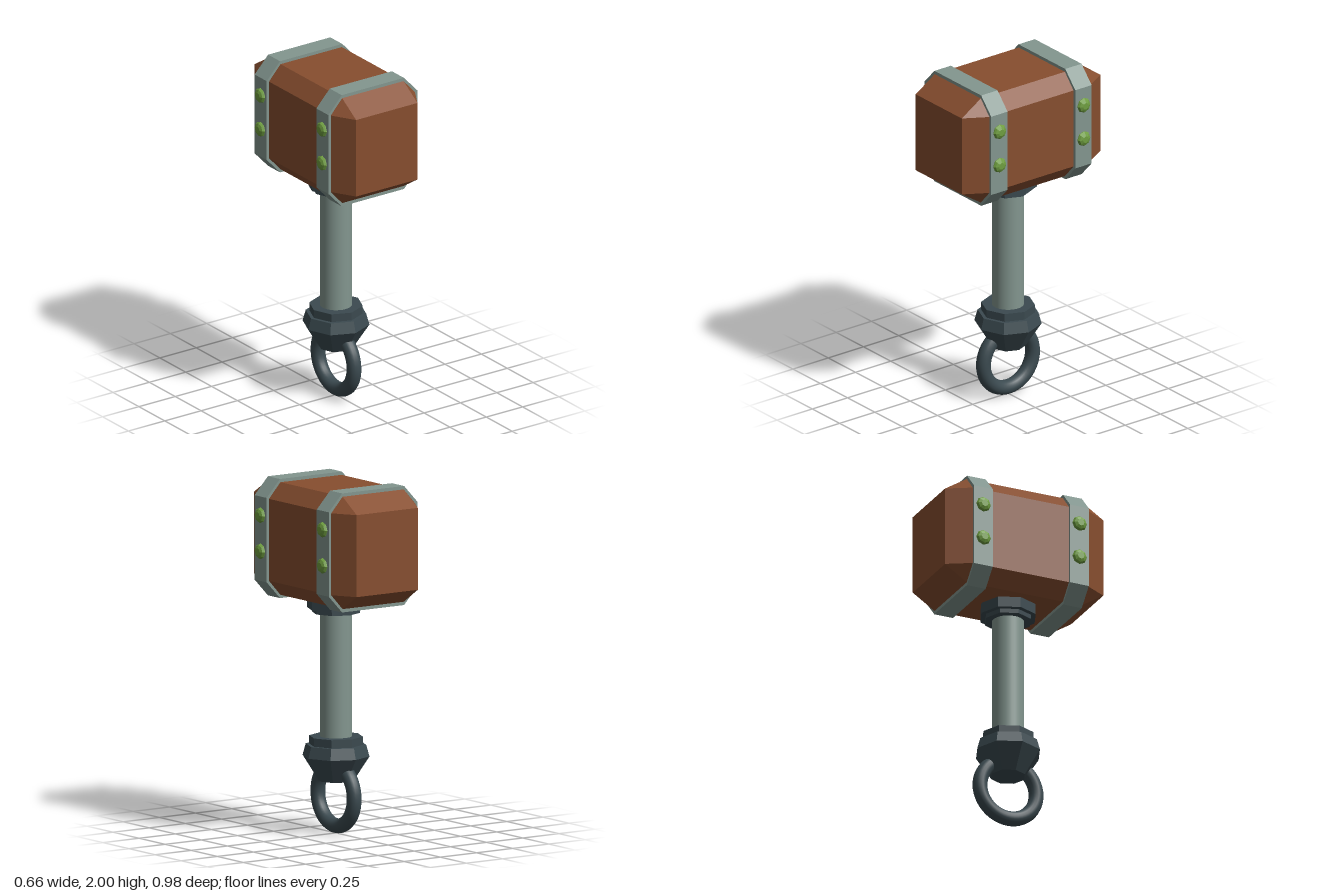
import * as THREE from 'three';
import { ConvexGeometry } from 'three/addons/geometries/ConvexGeometry.js';

const material = (name, color) => {
  const m = new THREE.MeshStandardMaterial({ color });
  m.name = name;
  return m;
};

export function createModel() {
  const wood = material('wood', 0x874e2f);
  const steel = material('steel', 0x83968f);
  const iron = material('dark iron', 0x3b4a50);
  const green = material('green stud', 0x6f9e40);

  const model = new THREE.Group();
  model.name = 'hammer';
  const add = (name, geometry, mat, x = 0, y = 0, z = 0) => {
    const mesh = new THREE.Mesh(geometry, mat);
    mesh.name = name;
    mesh.position.set(x, y, z);
    model.add(mesh);
    return mesh;
  };
  // Faceted geometry: every face gets its own normal
  const facet = (geometry) => {
    const g = geometry.toNonIndexed();
    g.computeVertexNormals();
    return g;
  };
  // Eight-sided turned part
  const turned = (points) =>
    facet(new THREE.LatheGeometry(points.map(([r, y]) => new THREE.Vector2(r, y)), 8));

  // Head: a block with all its edges bevelled
  const headY = 1.6615;
  const corners = [];
  for (const sx of [-1, 1]) for (const sy of [-1, 1]) for (const sz of [-1, 1]) {
    for (const [x, y, z] of [[0.29, 0.233, 0.355], [0.211, 0.32, 0.355], [0.211, 0.233, 0.491]]) {
      corners.push(new THREE.Vector3(sx * x, sy * y, sz * z));
    }
  }
  add('head', new ConvexGeometry(corners), wood, 0, headY);

  // Steel bands around the head
  const outline = [
    [0.306, -0.24], [0.306, 0.24], [0.214, 0.3385], [-0.214, 0.3385],
    [-0.306, 0.24], [-0.306, -0.24], [-0.214, -0.3385], [0.214, -0.3385],
  ];
  const bandShape = new THREE.Shape(outline.map(([x, y]) => new THREE.Vector2(x, y)));
  const bandGeometry = new THREE.ExtrudeGeometry(bandShape, { depth: 0.116, bevelEnabled: false });
  bandGeometry.translate(0, 0, -0.058);

  // Domed studs, two on each side of each band
  const studGeometry = turned([[0.044, -0.006], [0.044, 0.005], [0.037, 0.016], [0.02, 0.024], [0, 0.024]]);
  for (const sz of [-1, 1]) {
    add('band', bandGeometry, steel, 0, headY, sz * 0.298);
    for (const sx of [-1, 1]) for (const y of [1.59, 1.795]) {
      add('stud', studGeometry, green, sx * 0.305, y, sz * 0.298).rotation.z = -sx * Math.PI / 2;
    }
  }

  // Handle and the stepped collar below the head
  add('handle', new THREE.CylinderGeometry(0.091, 0.091, 0.8, 32), steel, 0, 0.92);
  add('collar', turned([
    [0, 1.255], [0.136, 1.255], [0.136, 1.28], [0.165, 1.28], [0.165, 1.35], [0, 1.35],
  ]), iron);

  // Pommel
  add('pommel', turned([
    [0, 0.3], [0.1, 0.3], [0.19, 0.44], [0.172, 0.505],
    [0.152, 0.505], [0.152, 0.552], [0, 0.552],
  ]), iron);

  // Hanging ring
  add('ring', new THREE.TorusGeometry(0.174, 0.042, 16, 48), iron, 0, 0.216).rotation.y = Math.PI / 2;

  return model;
}
